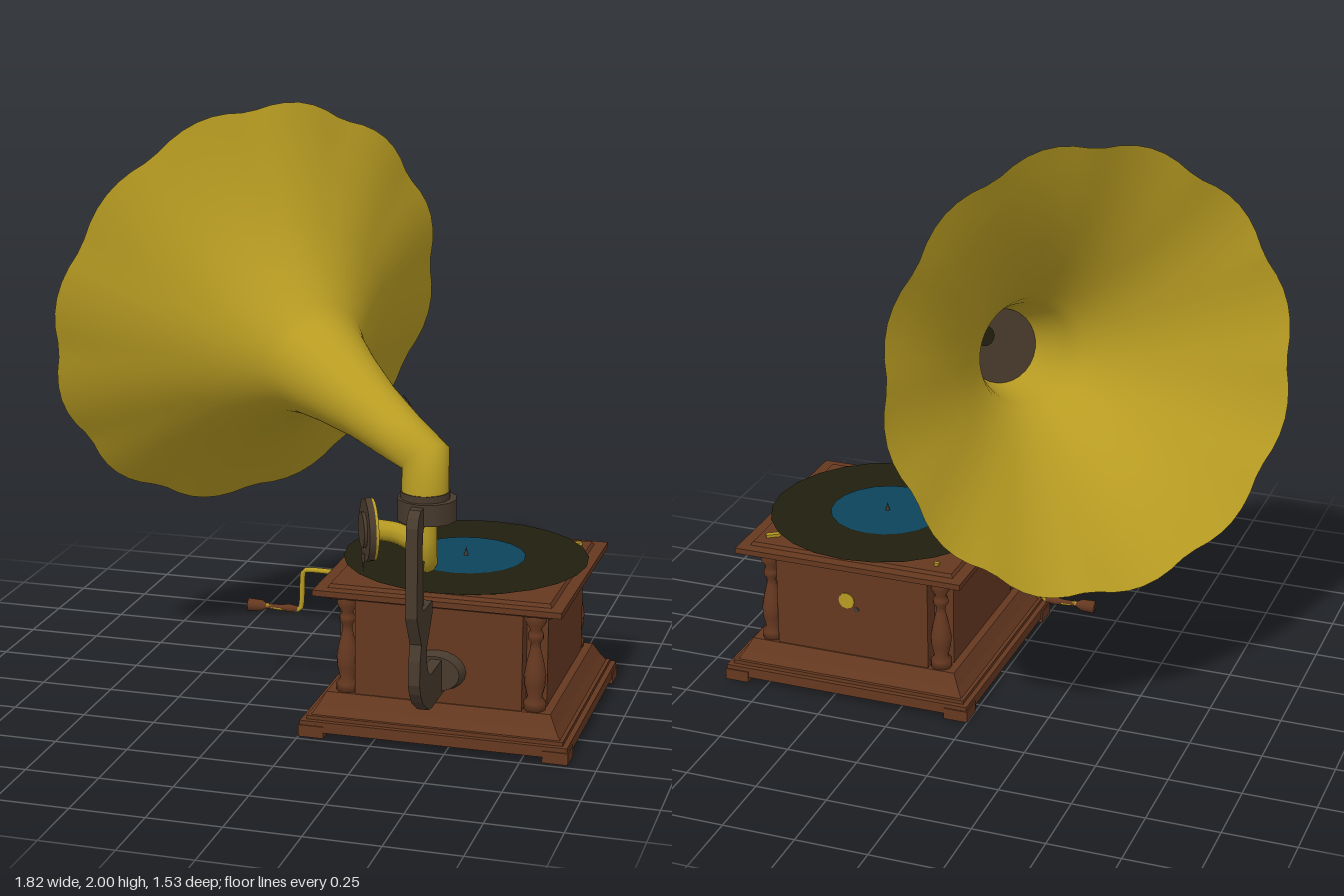
import * as THREE from 'three';

const mat = (name, color) => {
  const m = new THREE.MeshStandardMaterial({ color, side: THREE.DoubleSide });
  m.name = name;
  return m;
};
const V = (x, y, z) => new THREE.Vector3(x, y, z);

export function createModel() {
  const wood = mat('wood', 0x653820);
  const brass = mat('brass', 0xb79b22);
  const iron = mat('darkMetal', 0x483a2d);
  const black = mat('record', 0x211e0e);
  const blue = mat('label', 0x0c445c);
  const green = mat('felt', 0x16402a);

  const root = new THREE.Group();
  root.name = 'gramophone';
  const CX = 0.452, CZ = 0.05;

  const add = (name, geo, material, x = 0, y = 0, z = 0, parent = root) => {
    const m = new THREE.Mesh(geo, material);
    m.name = name;
    m.position.set(x, y, z);
    parent.add(m);
    return m;
  };
  const box = (name, w, h, d, x, y, z, material = wood) =>
    add(name, new THREE.BoxGeometry(w, h, d), material, x, y, z);

  // rectangular tier of the cabinet; insets are measured from the base outline
  const tier = (name, y0, y1, in0, in1 = in0) => {
    const g = new THREE.BoxGeometry(1, 1, 1);
    const p = g.attributes.position;
    for (let i = 0; i < p.count; i++) {
      const top = p.getY(i) > 0, inset = top ? in1 : in0;
      p.setXYZ(i, p.getX(i) * (0.904 - 2 * inset), top ? y1 : y0, p.getZ(i) * (0.86 - 2 * inset));
    }
    g.computeVertexNormals();
    add(name, g, wood, CX, 0, CZ);
  };

  // cabinet: plinth, moulding, notched body and lid
  tier('plinth', 0.018, 0.055, 0.004);
  tier('plinthStep', 0.055, 0.068, 0.022);
  tier('skirtLower', 0.068, 0.095, 0.034, 0.052);
  tier('skirtUpper', 0.095, 0.138, 0.052, 0.075);
  box('bodyAcross', 0.7, 0.34, 0.57, CX, 0.305, CZ);
  box('bodyAlong', 0.56, 0.34, 0.7, CX, 0.305, CZ);
  tier('lidMoulding', 0.458, 0.478, 0.085, 0.055);
  tier('lid', 0.478, 0.498, 0.038);
  tier('lidPanel', 0.498, 0.51, 0.078, 0.085);

  // corner feet and turned columns
  const column = [[0, 0.135], [0.036, 0.135], [0.036, 0.165], [0.024, 0.18], [0.034, 0.22], [0.036, 0.255],
    [0.028, 0.3], [0.017, 0.345], [0.016, 0.365], [0.026, 0.38], [0.026, 0.395], [0.018, 0.41],
    [0.034, 0.435], [0.034, 0.475], [0, 0.475]].map(([r, y]) => new THREE.Vector2(r, y));
  for (const sx of [-1, 1]) for (const sz of [-1, 1]) {
    box('foot', 0.085, 0.04, 0.085, CX + sx * 0.4095, 0.02, CZ + sz * 0.3875);
    add('cornerColumn', new THREE.LatheGeometry(column, 14), wood, CX + sx * 0.316, 0, CZ + sz * 0.316);
  }

  // back escutcheon with keyhole, and small lid fittings
  const backDisc = (name, r, h, m, x, y) => {
    add(name, new THREE.CylinderGeometry(r, r, h, 12), m, x, y, -0.301).rotation.x = Math.PI / 2;
  };
  backDisc('backEscutcheon', 0.029, 0.005, brass, 0.47, 0.345);
  backDisc('backKeyhole', 0.01, 0.004, iron, 0.435, 0.315);
  const brake = box('brakeLever', 0.05, 0.01, 0.02, 0.77, 0.516, -0.235, brass);
  brake.rotation.y = 0.6;
  box('speedKnob', 0.015, 0.01, 0.015, 0.155, 0.516, -0.25, brass);

  // turntable, record, label and spindle
  const RX = 0.458;
  const slab = (name, y0, y1, m) =>
    add(name, new THREE.CylinderGeometry(0.345, 0.345, y1 - y0, 24), m, RX, (y0 + y1) / 2, CZ);
  slab('turntable', 0.508, 0.526, green);
  slab('turntableTop', 0.526, 0.532, black);
  const disc = (name, r, n, m, y) => {
    add(name, new THREE.CircleGeometry(r, n), m, RX, y, CZ).rotation.x = -Math.PI / 2;
  };
  disc('record', 0.411, 24, black, 0.533);
  disc('recordLabel', 0.2, 20, blue, 0.536);
  add('spindle', new THREE.ConeGeometry(0.008, 0.03, 8), iron, RX, 0.55, CZ);

  // crank
  const tube = (name, pts, r, m, n = 40) =>
    add(name, new THREE.TubeGeometry(new THREE.CatmullRomCurve3(pts, false, 'catmullrom', 0.4), n, r, 10), m);
  tube('crankArm', [V(0.11, 0.432, CZ), V(0, 0.432, CZ), V(-0.095, 0.432, CZ), V(-0.115, 0.415, CZ),
    V(-0.12, 0.31, CZ), V(-0.14, 0.285, CZ), V(-0.27, 0.29, CZ)], 0.009, brass);
  const grip = [[0, -0.09], [0.01, -0.09], [0.014, -0.06], [0.009, -0.03], [0.009, 0.02], [0.02, 0.04], [0.022, 0.085], [0, 0.085]]
    .map(([r, y]) => new THREE.Vector2(r, y));
  add('crankHandle', new THREE.LatheGeometry(grip, 12), wood, -0.225, 0.288, CZ).rotation.z = Math.PI / 2;
  const boss = add('crankBoss', new THREE.CylinderGeometry(0.018, 0.018, 0.02, 12), brass, 0.105, 0.432, CZ);
  boss.rotation.z = Math.PI / 2;

  // support bracket, cut in the z-y plane
  const outline = [[0.39, 0.18], [0.56, 0.18], [0.6, 0.187], [0.675, 0.235], [0.705, 0.275], [0.72, 0.31], [0.715, 0.39],
    [0.7, 0.44], [0.735, 0.5], [0.76, 0.545], [0.757, 0.836], [0.745, 0.865], [0.72, 0.885], [0.66, 0.885], [0.66, 0.825],
    [0.685, 0.815], [0.695, 0.795], [0.695, 0.59], [0.68, 0.545], [0.566, 0.545], [0.566, 0.5], [0.63, 0.41],
    [0.63, 0.36], [0.61, 0.32], [0.577, 0.3], [0.39, 0.3]];
  const bracket = new THREE.ExtrudeGeometry(new THREE.Shape(outline.map(([z, y]) => new THREE.Vector2(z, y))),
    { depth: 0.038, bevelEnabled: false });
  bracket.rotateY(-Math.PI / 2);
  add('supportBracket', bracket, iron, 0.474);
  const mount = add('bracketMount', new THREE.CylinderGeometry(0.85, 1, 0.04, 20), iron, 0.452, 0.25, 0.418);
  mount.rotation.x = Math.PI / 2;
  mount.scale.set(0.095, 1, 0.07);
  add('supportPin', new THREE.CylinderGeometry(0.005, 0.005, 0.15, 8), iron, 0.455, 0.615, 0.62);
  add('collar', new THREE.CylinderGeometry(0.095, 0.095, 0.07, 12), iron, 0.461, 0.858, 0.595);
  add('collarRim', new THREE.CylinderGeometry(0.079, 0.079, 0.03, 16), iron, 0.455, 0.9, 0.595);

  // tone arm with goose neck and sound box
  tube('toneArm', [V(0.46, 0.84, 0.6), V(0.46, 0.74, 0.6), V(0.455, 0.675, 0.57), V(0.43, 0.648, 0.48), V(0.395, 0.63, 0.37),
    V(0.385, 0.625, 0.31), V(0.345, 0.635, 0.275), V(0.28, 0.665, 0.28), V(0.21, 0.68, 0.305)], 0.035, brass, 60);
  const soundBox = new THREE.Group();
  soundBox.name = 'soundBox';
  soundBox.position.set(0.19, 0.68, 0.315);
  soundBox.rotation.y = 0.45;
  root.add(soundBox);
  const puck = (name, r, h, x, m) => {
    add(name, new THREE.CylinderGeometry(r, r, h, 24), m, x, 0, 0, soundBox).rotation.z = Math.PI / 2;
  };
  puck('soundBoxBody', 0.104, 0.022, 0, iron);
  puck('soundBoxBoss', 0.06, 0.016, -0.014, iron);
  puck('soundBoxBack', 0.103, 0.009, 0.0155, brass);
  add('needle', new THREE.ConeGeometry(0.008, 0.06, 8), iron, -0.015, -0.112, 0, soundBox).rotation.x = Math.PI;

  // horn: mitred elbow, long cone and flared, scalloped mouth
  const elbow = V(0.455, 1.02, 0.595), mouth = V(-0.385, 1.28, -0.225);
  const axis = mouth.clone().sub(elbow).normalize();
  const back = V(-axis.x, 0, -axis.z).normalize();
  // side points away from the crank, towards +x and -z
  const side = new THREE.Vector3().crossVectors(V(0, 1, 0), back).normalize();
  const up = new THREE.Vector3().crossVectors(side, axis).normalize();
  if (up.y < 0) up.negate();
  const mitre = back.clone().add(up).normalize();
  mitre.multiplyScalar(1 / mitre.dot(up));
  const at = (t) => elbow.clone().addScaledVector(axis, t);
  // each ring: centre, radius, in-plane up vector, scallop depth
  const rings = [[V(0.455, 0.87, 0.595), 0.074, back, 0], [elbow, 0.074, mitre, 0]];
  for (const [t, r, s] of [[0.15, 0.085, 0], [0.35, 0.105, 0], [0.55, 0.14, 0], [0.68, 0.17, 0], [0.75, 0.196, 0],
    [0.87, 0.298, 0], [0.98, 0.402, 0.001], [1.09, 0.545, 0.004], [1.16, 0.655, 0.008], [1.205, 0.73, 0.014]])
    rings.push([at(t), r, up, s]);
  const N = 84, LOBES = 12, pos = [], idx = [];
  rings.forEach(([c, r, u, s], i) => {
    for (let j = 0; j < N; j++) {
      const a = (j / N) * Math.PI * 2;
      const rr = r + s * (2 * Math.abs(Math.sin((a - Math.PI - 0.115) * LOBES / 2)) - 1);
      const p = c.clone().addScaledVector(side, rr * Math.cos(a)).addScaledVector(u, rr * Math.sin(a));
      pos.push(p.x, p.y, p.z);
      if (i) {
        const k = (j + 1) % N, b = (i - 1) * N, d = i * N;
        idx.push(b + j, d + j, b + k, b + k, d + j, d + k);
      }
    }
  });
  const horn = new THREE.BufferGeometry();
  horn.setAttribute('position', new THREE.Float32BufferAttribute(pos, 3));
  horn.setIndex(idx);
  horn.computeVertexNormals();
  add('horn', horn, brass);

  // dark throat stop with its opening, and the joint band on the horn's neck
  const facing = (name, r, m, p) => {
    const d = add(name, new THREE.CircleGeometry(r, 28), m, p.x, p.y, p.z);
    d.lookAt(p.clone().add(axis));
  };
  facing('hornThroat', 0.13, iron, at(0.5));
  facing('throatOpening', 0.035, black, at(0.505).addScaledVector(side, 0.06).addScaledVector(up, 0.045));
  const joint = add('jointBand', new THREE.CylinderGeometry(0.105, 0.1, 0.03, 20, 1, true, -0.9, 2.2), iron);
  joint.position.copy(at(0.265));
  joint.quaternion.setFromRotationMatrix(
    new THREE.Matrix4().makeBasis(new THREE.Vector3().crossVectors(axis, side), axis, side));

  return root;
}
